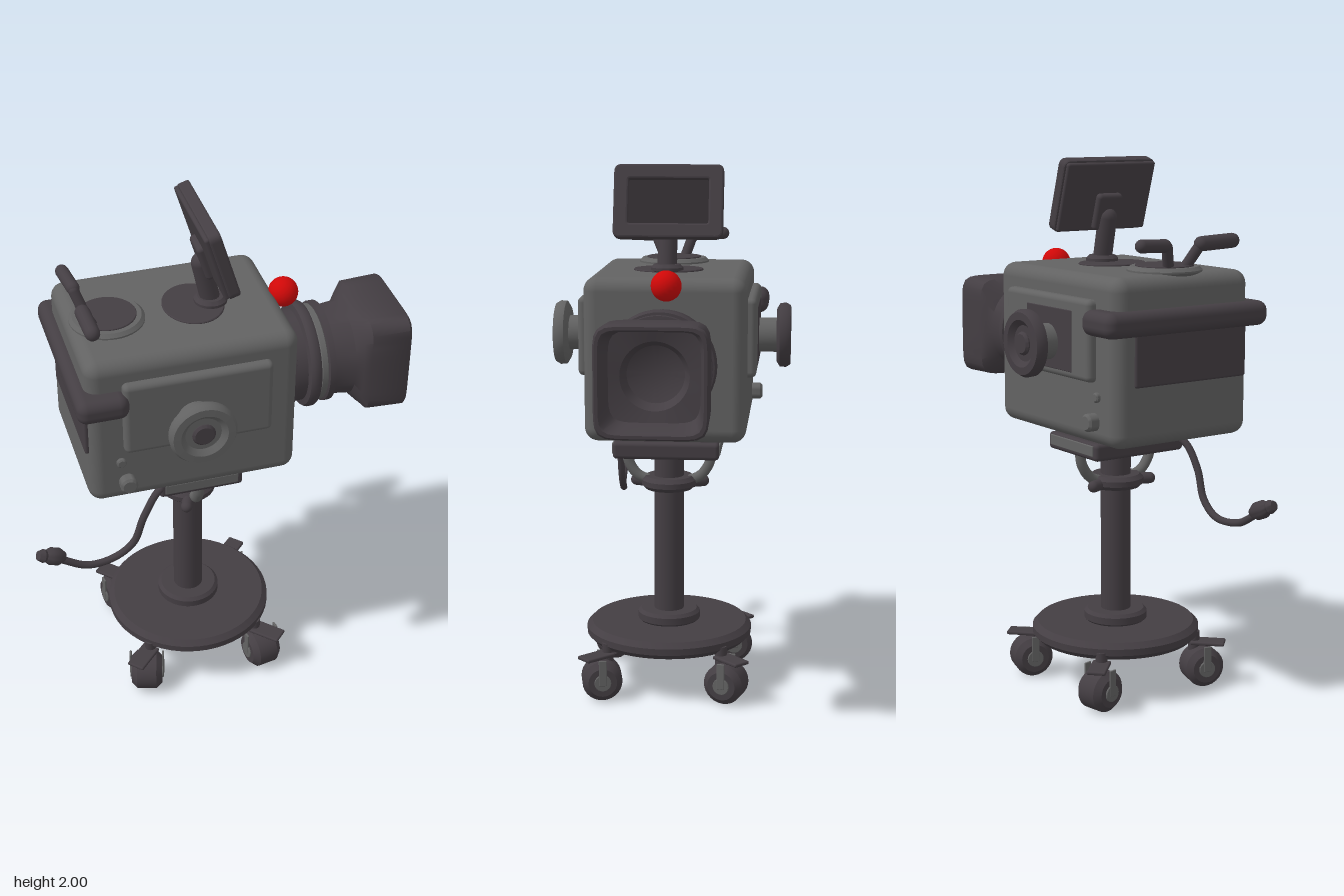
import * as THREE from 'three';
import { toCreasedNormals } from 'three/addons/utils/BufferGeometryUtils.js';
import { RoundedBoxGeometry } from 'three/addons/geometries/RoundedBoxGeometry.js';

const paint = (name, color, side = THREE.FrontSide) => {
  const m = new THREE.MeshStandardMaterial({ color, side });
  m.name = name;
  return m;
};

export function createModel() {
  const grey = paint('body grey', 0x626262);
  const dark = paint('dark plastic', 0x443e43);
  const black = paint('screen black', 0x332e32);
  const red = paint('signal red', 0xd00808);

  const model = new THREE.Group();
  model.name = 'studioCamera';
  const group = (name, parent, x = 0, y = 0, z = 0) => {
    const g = new THREE.Group();
    g.name = name;
    g.position.set(x, y, z);
    parent.add(g);
    return g;
  };
  const add = (parent, name, geo, mat, x = 0, y = 0, z = 0) => {
    const m = new THREE.Mesh(geo, mat);
    m.name = name;
    m.position.set(x, y, z);
    parent.add(m);
    return m;
  };
  const box = (w, h, d, r) => new RoundedBoxGeometry(w, h, d, 4, r);
  const lathe = (pts, seg = 40) =>
    toCreasedNormals(new THREE.LatheGeometry(pts.map(p => new THREE.Vector2(...p)), seg), 0.7);
  // Disc with bevelled rims, standing on y = 0
  const disc = (r, h, b = 0.012, seg = 40) =>
    lathe([[0, 0], [r - b, 0], [r, b], [r, h - b], [r - b, h], [0, h]], seg);
  const tube = (pts, r, seg = 30) =>
    new THREE.TubeGeometry(new THREE.CatmullRomCurve3(pts.map(p => new THREE.Vector3(...p))), seg, r, 10);
  // Rod with round ends between two points
  const rod = (parent, name, a, b, r, mat) => {
    const p = new THREE.Vector3(...a), q = new THREE.Vector3(...b);
    const m = add(parent, name, new THREE.CapsuleGeometry(r, p.distanceTo(q), 6, 14), mat);
    m.position.copy(p).lerp(q, 0.5);
    m.quaternion.setFromUnitVectors(new THREE.Vector3(0, 1, 0), q.sub(p).normalize());
    return m;
  };

  // ---- Camera head: lens points along its own -z, turned on the pedestal ----
  const head = group('cameraHead', model);
  head.rotation.y = -Math.PI / 6;

  add(head, 'body', box(0.59, 0.6, 0.77, 0.05), grey, 0, 1.312, 0.12);
  add(head, 'backPanel', box(0.49, 0.25, 0.02, 0.009), dark, 0.025, 1.355, 0.503);
  add(head, 'rearBumper', box(0.71, 0.09, 0.185, 0.036), dark, 0, 1.455, 0.453);

  // Side panels with hand wheels and small sockets
  for (const s of [1, -1]) {
    const side = group(s > 0 ? 'leftSide' : 'rightSide', head);
    add(side, 'sidePanel', box(0.06, 0.29, 0.54, 0.02), grey, s * 0.297, 1.385, 0.11);
    if (s < 0) add(side, 'darkPanelPatch', box(0.008, 0.22, 0.29, 0.003), dark, -0.325, 1.375, 0.13);
    const wheel = group('handWheel', side, s * 0.31, 1.36, 0.127);
    wheel.rotation.z = -s * Math.PI / 2;
    const wheelMat = s > 0 ? grey : dark;
    add(wheel, 'wheelStem', disc(0.065, 0.1), grey);
    add(wheel, 'wheelRim', lathe([[0, 0.085], [0.1, 0.085], [0.12, 0.097], [0.122, 0.12], [0.112, 0.137],
      [0.085, 0.138], [0.065, 0.12], [0, 0.12]]), wheelMat);
    add(wheel, 'wheelHub', disc(0.042, 0.02, 0.008), dark, 0, 0.115, 0);
    const socket = add(side, 'socket', disc(0.032, 0.06, 0.008, 20), grey, s * 0.275, 1.1, 0.37);
    socket.rotation.z = -s * Math.PI / 2;
    const screw = add(side, 'screw', disc(0.018, 0.03, 0.005, 16), grey, s * 0.28, 1.19, 0.39);
    screw.rotation.z = -s * Math.PI / 2;
  }

  // Turntable with two grips on the top
  add(head, 'turntable', disc(0.135, 0.03), grey, 0.015, 1.6, 0.36);
  add(head, 'turntableInset', disc(0.105, 0.008, 0.002), dark, 0.015, 1.627, 0.36);
  rod(head, 'gripArm', [-0.02, 1.62, 0.43], [-0.05, 1.705, 0.46], 0.02, dark);
  rod(head, 'grip', [-0.06, 1.71, 0.46], [-0.17, 1.715, 0.475], 0.024, dark);
  rod(head, 'gripArm', [0.055, 1.62, 0.42], [0.095, 1.705, 0.46], 0.02, dark);
  rod(head, 'grip', [0.1, 1.71, 0.462], [0.24, 1.715, 0.46], 0.027, dark);

  // Monitor on a stalk
  const foot = add(head, 'stalkFoot', disc(0.13, 0.01, 0.003), dark, 0.01, 1.608, 0.045);
  foot.scale.z = 0.85;
  add(head, 'stalkCollar', disc(0.06, 0.035), dark, 0.01, 1.605, -0.02);
  rod(head, 'stalk', [0.01, 1.62, -0.02], [0.01, 1.78, 0.015], 0.036, dark);
  const monitor = group('monitor', head, 0.005, 1.862, 0);
  monitor.rotation.x = 0.3;
  const roundRect = (Kind, w, h, r) => {
    const s = new Kind(), x = w / 2, y = h / 2;
    s.moveTo(-x + r, -y).lineTo(x - r, -y).quadraticCurveTo(x, -y, x, -y + r);
    s.lineTo(x, y - r).quadraticCurveTo(x, y, x - r, y).lineTo(-x + r, y);
    s.quadraticCurveTo(-x, y, -x, y - r).lineTo(-x, -y + r).quadraticCurveTo(-x, -y, -x + r, -y);
    return s;
  };
  const frame = roundRect(THREE.Shape, 0.39, 0.26, 0.02);
  frame.holes.push(roundRect(THREE.Path, 0.31, 0.18, 0.015));
  add(monitor, 'monitorFrame', new THREE.ExtrudeGeometry(frame, {
    depth: 0.03, bevelEnabled: true, bevelSize: 0.007, bevelThickness: 0.007, bevelSegments: 2 }), dark, 0, 0, -0.03);
  add(monitor, 'monitorBack', box(0.39, 0.26, 0.02, 0.009), dark, 0, 0, 0.012);
  add(monitor, 'screen', new THREE.BoxGeometry(0.32, 0.19, 0.008), black, 0, 0, -0.005);
  add(monitor, 'monitorMount', box(0.11, 0.14, 0.04, 0.015), dark, 0.005, -0.055, 0.025);

  // Signal lamp
  add(head, 'signalLamp', new THREE.SphereGeometry(0.055, 20, 14), red, -0.011, 1.59, -0.3);

  // Lens barrel with rings
  const lens = group('lens', head, 0.003, 1.315, 0);
  add(lens, 'barrel', lathe([[0, 0.22], [0.188, 0.22], [0.188, 0.3], [0.172, 0.305], [0.172, 0.345], [0.193, 0.35],
    [0.2, 0.36], [0.2, 0.38], [0.193, 0.39], [0.175, 0.392], [0.175, 0.42], [0.188, 0.425], [0.188, 0.448],
    [0.165, 0.452], [0, 0.452]], 48).rotateX(-Math.PI / 2), dark);
  add(lens, 'greyRing', disc(0.181, 0.026, 0.003).rotateX(-Math.PI / 2), grey, 0, 0, -0.395);

  // Hood: round at the barrel, square at the mouth, then back inside to the glass
  const sections = [[0.44, 0.165, 2], [0.53, 0.17, 2.2], [0.555, 0.183, 3.5], [0.58, 0.192, 7], [0.722, 0.194, 8],
    [0.731, 0.188, 8], [0.731, 0.177, 8], [0.722, 0.171, 8], [0.6, 0.158, 6], [0.59, 0.12, 2],
    [0.545, 0.1, 2], [0.53, 0.06, 2], [0.525, 0.001, 2]];
  const N = 64, verts = [], faces = [];
  sections.forEach(([f, r, n], i) => {
    for (let j = 0; j < N; j++) {
      const a = j / N * Math.PI * 2, c = Math.cos(a), s = Math.sin(a);
      const k = r / Math.pow(Math.abs(c) ** n + Math.abs(s) ** n, 1 / n);
      verts.push(c * k, s * k, -f);
      if (i === sections.length - 1) continue;
      const p = i * N + j, q = i * N + (j + 1) % N;
      faces.push(p, p + N, q, q, p + N, q + N);
    }
  });
  const hood = new THREE.BufferGeometry();
  hood.setAttribute('position', new THREE.Float32BufferAttribute(verts, 3));
  hood.setIndex(faces);
  hood.computeVertexNormals();
  add(lens, 'lensHood', toCreasedNormals(hood, 0.7), dark);

  // ---- Pedestal ----
  const pedestal = group('pedestal', model, -0.025, 0, 0.065);
  add(pedestal, 'column', new THREE.CylinderGeometry(0.057, 0.057, 0.74, 32), dark, 0, 0.62, 0);
  add(pedestal, 'columnCollar', disc(0.12, 0.05), dark, 0, 0.24, 0);
  add(pedestal, 'baseDisc', disc(0.32, 0.065, 0.02, 56), dark, 0, 0.18, 0);
  add(pedestal, 'yokeCollar', disc(0.105, 0.05, 0.015), dark, 0, 0.77, 0);

  // Mounting plates and yoke, aligned with the camera
  const mount = group('mount', pedestal);
  mount.rotation.y = -Math.PI / 6;
  add(mount, 'mountPlate', box(0.4, 0.065, 0.32, 0.015), dark, 0, 0.945, 0);
  add(mount, 'upperPlate', box(0.34, 0.06, 0.26, 0.01), dark, 0, 0.995, 0);
  for (const s of [1, -1]) {
    add(mount, 'plateStrip', box(0.008, 0.04, 0.28, 0.003), grey, s * 0.2, 0.95, 0);
    add(mount, 'yokeArm', tube([[s * 0.165, 0.925, 0], [s * 0.155, 0.87, 0], [s * 0.12, 0.82, 0],
      [s * 0.06, 0.795, 0]], 0.02), grey);
    rod(mount, 'clampKnob', [s * 0.08, 0.79, 0.02], [s * 0.13, 0.79, 0.04], 0.022, dark);
  }

  // Casters
  for (let i = 0; i < 4; i++) {
    const a = Math.PI / 12 + i * Math.PI / 2;
    const caster = group('caster', pedestal, Math.sin(a) * 0.335, 0, Math.cos(a) * 0.335);
    caster.rotation.y = a;
    add(caster, 'casterStem', new THREE.CylinderGeometry(0.022, 0.022, 0.08, 14), dark, 0, 0.17, -0.03);
    add(caster, 'brakeLever', box(0.07, 0.014, 0.13, 0.006), dark, 0, 0.168, 0.025);
    const roll = group('casterRoll', caster, 0, 0.076, 0);
    roll.rotation.y = [0.5, -0.6, 0.5, -0.6][i];
    const wheel = add(roll, 'casterWheel', disc(0.076, 0.12, 0.022, 28).translate(0, -0.06, 0), dark);
    wheel.rotation.z = Math.PI / 2;
    for (const s of [1, -1]) {
      const hub = add(roll, 'casterHub', disc(0.032, 0.008, 0.002, 18), grey, s * 0.058, 0, 0);
      hub.rotation.z = -s * Math.PI / 2;
      add(roll, 'casterFork', box(0.008, 0.1, 0.03, 0.003), grey, s * 0.064, 0.04, 0);
    }
  }

  // Hanging cable with plug
  const cable = group('cable', model);
  add(cable, 'cord', tube([[0.06, 0.96, 0.24], [0.06, 0.945, 0.31], [0.045, 0.85, 0.37], [0.025, 0.74, 0.405],
    [-0.01, 0.685, 0.47], [-0.05, 0.685, 0.57], [-0.1, 0.74, 0.66]], 0.014, 48), dark);
  const plug = add(cable, 'plug', lathe([[0, -0.05], [0.018, -0.05], [0.033, -0.025], [0.033, 0.01], [0.022, 0.03],
    [0.026, 0.04], [0.018, 0.06], [0, 0.062]], 18), dark, -0.115, 0.763, 0.685);
  plug.quaternion.setFromUnitVectors(new THREE.Vector3(0, 1, 0), new THREE.Vector3(-0.3, 0.4, 0.85).normalize());

  return model;
}
